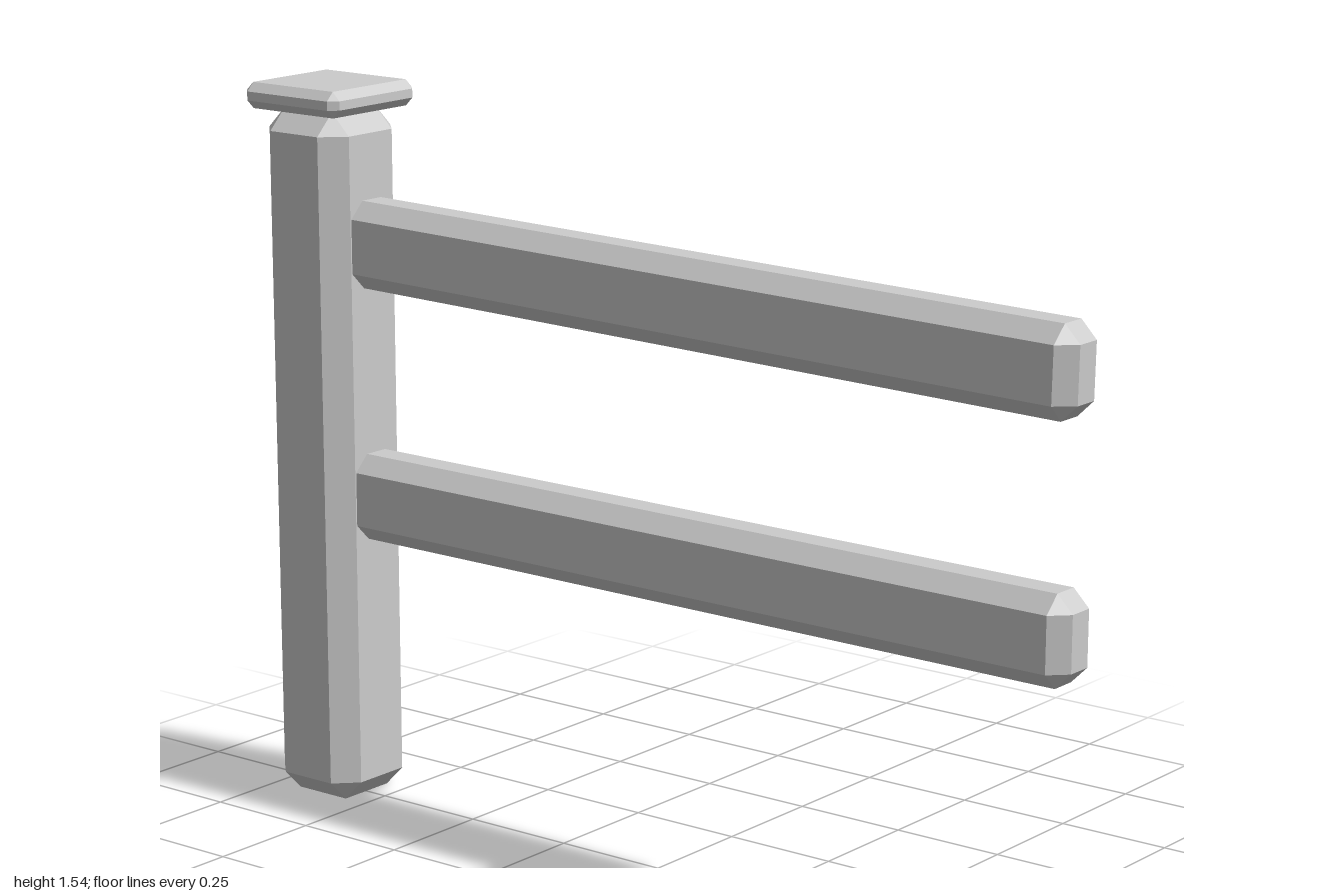
import * as THREE from 'three';
import { ConvexGeometry } from 'three/addons/geometries/ConvexGeometry.js';

const material = new THREE.MeshStandardMaterial({ color: 0xcccccc, flatShading: true });

// Box with every edge and corner cut off by a flat chamfer c
function chamferBox(name, w, h, d, c) {
  const points = [];
  for (const sx of [-1, 1]) for (const sy of [-1, 1]) for (const sz of [-1, 1]) {
    const x = w / 2, y = h / 2, z = d / 2;
    points.push(
      new THREE.Vector3(sx * x, sy * (y - c), sz * (z - c)),
      new THREE.Vector3(sx * (x - c), sy * y, sz * (z - c)),
      new THREE.Vector3(sx * (x - c), sy * (y - c), sz * z)
    );
  }
  const mesh = new THREE.Mesh(new ConvexGeometry(points), material);
  mesh.name = name;
  return mesh;
}

export function createModel() {
  const group = new THREE.Group();
  group.name = 'fenceSection';
  const postX = -0.87;

  // Upright post
  const post = chamferBox('post', 0.224, 1.49, 0.224, 0.046);
  post.position.set(postX, 0.745, 0);
  group.add(post);

  // Flat cap on the post
  const cap = chamferBox('postCap', 0.26, 0.055, 0.26, 0.018);
  cap.position.set(postX, 1.515, 0);
  group.add(cap);

  // Two rails, running from inside the post with a slight droop
  const rails = [
    ['upperRail', 1.196, -0.0203],
    ['lowerRail', 0.669, -0.0035],
  ];
  for (const [name, y, tilt] of rails) {
    const rail = chamferBox(name, 1.87, 0.185, 0.126, 0.035);
    rail.position.set(0.064, y, 0);
    rail.rotation.z = tilt;
    group.add(rail);
  }
  return group;
}
